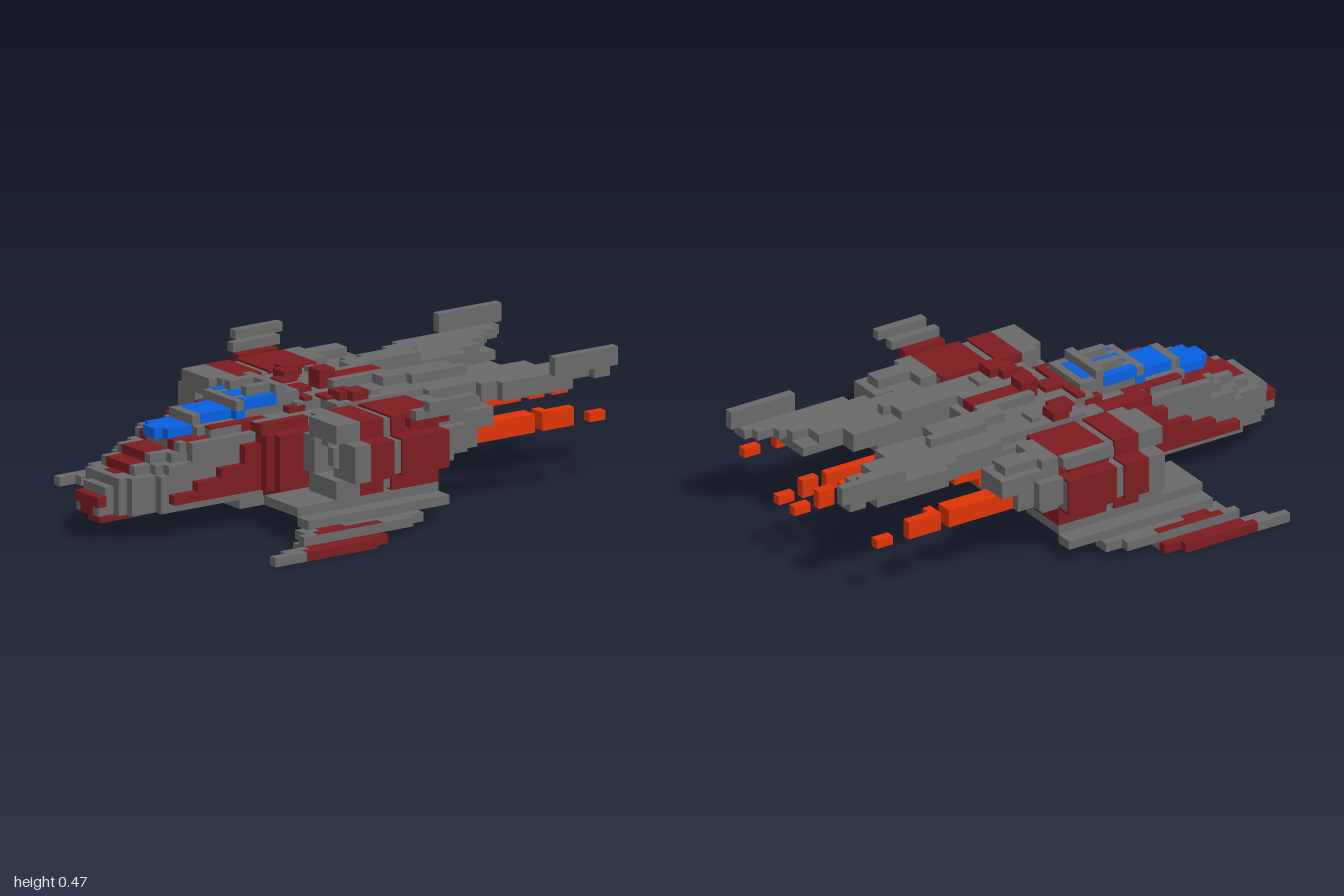
import * as THREE from 'three';
import { mergeGeometries } from 'three/addons/utils/BufferGeometryUtils.js';

const V = 1 / 30; // size of one block

export function createModel() {
  const root = new THREE.Group();
  root.name = 'blockStarfighter';
  const mat = (name, color) => {
    const m = new THREE.MeshStandardMaterial({ color });
    m.name = name;
    return m;
  };
  const grey = mat('hullGrey', 0x6b6b6b);
  const red = mat('darkRed', 0x7e1d20);
  const blue = mat('canopyBlue', 0x0861e2);
  const orange = mat('flameOrange', 0xe23506);

  // One block from its limits in block units; g lifts paint off the hull
  const block = ([x0, x1, y0, y1, z0, z1], g) =>
    new THREE.BoxGeometry((x1 - x0 + 2 * g) * V, (y1 - y0 + 2 * g) * V, (z1 - z0 + 2 * g) * V)
      .translate((x0 + x1) / 2 * V, (y0 + y1) / 2 * V, (z0 + z1) / 2 * V);
  const add = (name, material, boxes, g = 0) => {
    const mesh = new THREE.Mesh(mergeGeometries(boxes.map(b => block(b, g))), material);
    mesh.name = name;
    root.add(mesh);
  };
  // Centred blocks: [halfWidth, y0, y1, z0, z1]
  const centre = (name, material, rows, g) =>
    add(name, material, rows.map(([w, ...r]) => [-w, w, ...r]), g);
  // Mirrored pairs: [x0, x1, y0, y1, z0, z1] on the +x side
  const pair = (name, material, boxes, g) => {
    add(name + 'Left', material, boxes, g);
    add(name + 'Right', material, boxes.map(([a, b, ...r]) => [-b, -a, ...r]), g);
  };
  const P = 0.06; // paint thickness

  // Stepped nose
  centre('nose', grey, [
    [2, 3, 5, 28, 29.9], [2, 3, 6, 27, 29], [3, 3, 7, 26, 28],
    [4, 3, 7, 24, 27], [3, 7, 8, 22, 26], [4, 3, 8, 22, 24], [5, 3, 7, 20, 24],
    [3, 8, 9, 20, 24],
  ]);
  centre('nosePaint', red, [
    [2, 4, 5, 29, 29.94], [1, 3, 4, 29, 29.94], [1, 2, 3, 24, 29],
    [1, 6.9, 7, 26, 27], [2, 7, 8, 24, 26], [2, 8, 9, 20, 24],
  ], P);

  // Main fuselage with a belly that narrows to the rear
  centre('fuselage', grey, [
    [5, 3, 8, -3, 23], [4, 3, 8, -5, -3], [4, 8, 9, -5, 22], [3, 9, 10, 5, 21], [5, 8, 10, 0, 13],
    [4, 9, 11, 0, 17], [5, 4, 11, -3, 12], [8, 8, 11, -8, 5],
    [7, 11, 12, -8, 3], [4, 11, 12, -8, 6], [6, 4, 11, 3, 6],
  ]);
  centre('belly', grey, [[5, 2, 3, 2, 14], [4, 2, 3, -2, 2], [3, 2, 3, -5, -2]]);
  pair('canopyRail', grey, [[4, 5, 8, 10, 10, 20], [3, 4, 9, 10, 20, 21], [1, 2, 13, 14, 7, 11]]);
  centre('canopyFrame', grey, [
    [3, 10, 11, 5, 18], [3, 11, 12, 5, 13], [3, 12, 13, 5, 8], [2, 12, 13, 8, 12],
    [3, 13, 14, 7, 8], [3, 12, 13, 12, 13], [2.1, 11, 12.1, 17, 18],
  ]);
  // Canopy glass
  centre('windshield', blue, [
    [2, 10, 11, 18, 21], [1, 10, 11, 21, 22], [2, 11, 12, 13, 17],
    [1, 12.9, 13, 8, 12], [2, 12.9, 13, 6, 7],
  ], P);
  pair('sideGlass', blue, [[2, 3, 12, 13, 8, 12], [2, 3, 11.1, 11.9, 12, 13]], P);
  pair('canopyTrim', red, [
    [3, 4, 9, 10, 17, 18], [3, 4, 10.9, 11, 13, 17], [2, 4, 9, 10, 18, 20], [2, 3, 9, 10, 20, 21],
    [3, 4, 10, 11, 10, 13], [3, 4, 11, 11.6, 5, 7],
  ], P);

  // Red flank armour tapering towards the nose
  pair('flankWedge', red, [
    [5, 6, 4, 9, 11, 14], [5, 6, 4, 7, 14, 17], [5, 6, 4, 6, 17, 20], [5, 6, 4, 5, 20, 23],
  ]);
  pair('flankPanel', red, [
    [5, 8, 3, 10, 8, 11], [5, 7, 4, 10, 10, 12], [6, 8, 4, 10, 6, 9], [4, 6, 10, 11, 6, 12],
  ]);

  // Dorsal ridge and chevrons
  centre('spine', red, [[1, 12, 13, -7, 1], [1, 13, 14, -1, 1], [1, 12, 12.5, 2, 4], [4, 12, 12.4, 4, 5]]);
  pair('chevron', red, [
    [5, 7, 12, 13, -1, 1], [4, 6, 12, 12.9, 0, 2], [3, 5, 12, 12.3, 1, 3],
  ]);
  pair('dorsalPlate', grey, [
    [1, 2, 12, 13, -7, 0], [4, 6, 12, 12.5, -3, -2], [2, 4, 12, 13, -14, -5],
  ]);

  // Split tail, each row one step further back
  pair('tailBoom', grey, [
    [2, 8, 10, 12, -14, -8], [2, 9, 10, 12, -16, -14], [2, 10, 10, 12, -20, -16],
    [4, 10, 10, 12, -23, -20], [4, 6, 10, 11, -25, -20], [6, 10, 10, 12, -25, -23],
    [7, 10, 11, 12, -26, -25], [8, 10, 11, 12, -27, -26], [8, 11, 11, 12, -28, -27],
    [9, 11, 11, 12, -29, -28], [3, 7, 9, 10, -13, -8], [2, 4, 9, 10, -17, -13],
    [4, 5, 12, 13, -15, -8],
  ]);
  pair('tailFin', grey, [[10, 11, 12, 14, -30, -22]]);

  // Engine pods
  const pod = (z0, z1, s = 0) => [
    [8 + s, 14 - s, 4 + s, 12 - s, z0, z1], [13, 16 - s, 6 + s, 10 - s, z0, z1],
  ];
  pair('podBand', red, [...pod(-5, 1), ...pod(2, 5)]);
  pair('podCore', grey, pod(-5, 5, 0.25));
  pair('podTail', grey, [
    [8, 15, 7, 10, -8, -5], [9, 14, 6, 12, -7, -5], [9, 14, 7, 11, -10, -7], [10, 14, 9, 11, -12, -10],
    [11, 13, 10, 12, -11, -7],
  ]);
  // Intake: a backing plate and square ring with a small hub inside
  pair('intake', grey, [
    ...pod(5, 5.5),
    [9, 14, 10, 12, 5, 8], [9, 14, 4, 6, 5, 8], [13, 16, 6, 10, 5, 7], [8, 10, 6, 10, 5, 8],
    [11, 12, 7, 9, 5, 7], [8, 9, 10, 12, 5, 7], [10, 11, 9, 10, 5, 7], [12, 13, 6, 7, 5, 7],
  ]);

  // Upper winglets
  pair('wingletRoot', red, [[15, 16, 11, 12, -5, 0]]);
  pair('winglet', grey, [[16, 17, 12, 13, -6, 0], [17, 18, 13, 14, -7, -1]]);

  // Stepped lower wings, joined to the hull amidships
  pair('lowerWing', grey, [
    [5, 8, 3, 4, -2, 8], [8, 14, 3, 4, -5, 13], [14, 16, 2, 3, -5, 13], [13, 14, 2, 3, -3, 12],
    [15, 17, 1, 2, -1, 14], [17, 18, 1, 2, 1, 15],
    [16, 18, 0, 1, 5, 15], [18, 19, 0, 1, 15, 18], [19, 20, 0, 1, 16, 20],
  ]);
  pair('wingTip', red, [[19, 20, 0, 1, 7, 16], [18, 19, 0, 1, 5, 15]]);
  pair('wingStripe', red, [[17, 17.9, 1.9, 2, 5, 13], [16, 17, 1.9, 2, 9, 12]], P);

  // Exhaust flames
  centre('mainFlame', orange, [
    [2, 4, 6, -7, -5], [2, 5, 8, -10, -7], [2, 6, 9, -16, -8],
  ]);
  pair('mainFlameProng', orange, [
    [1, 2, 6, 9, -19, -16], [1, 2, 7, 9, -24, -19], [1, 2, 7, 9, -27, -25], [1, 2, 7, 8, -30, -28],
  ]);
  pair('podFlame', orange, [
    [11, 13, 7, 9, -18, -10], [11, 12, 7, 9, -20, -19], [12, 13, 7, 9, -23, -19],
    [11, 12, 7, 8, -21, -20], [12, 13, 7, 8, -27, -25],
  ]);

  return root;
}
